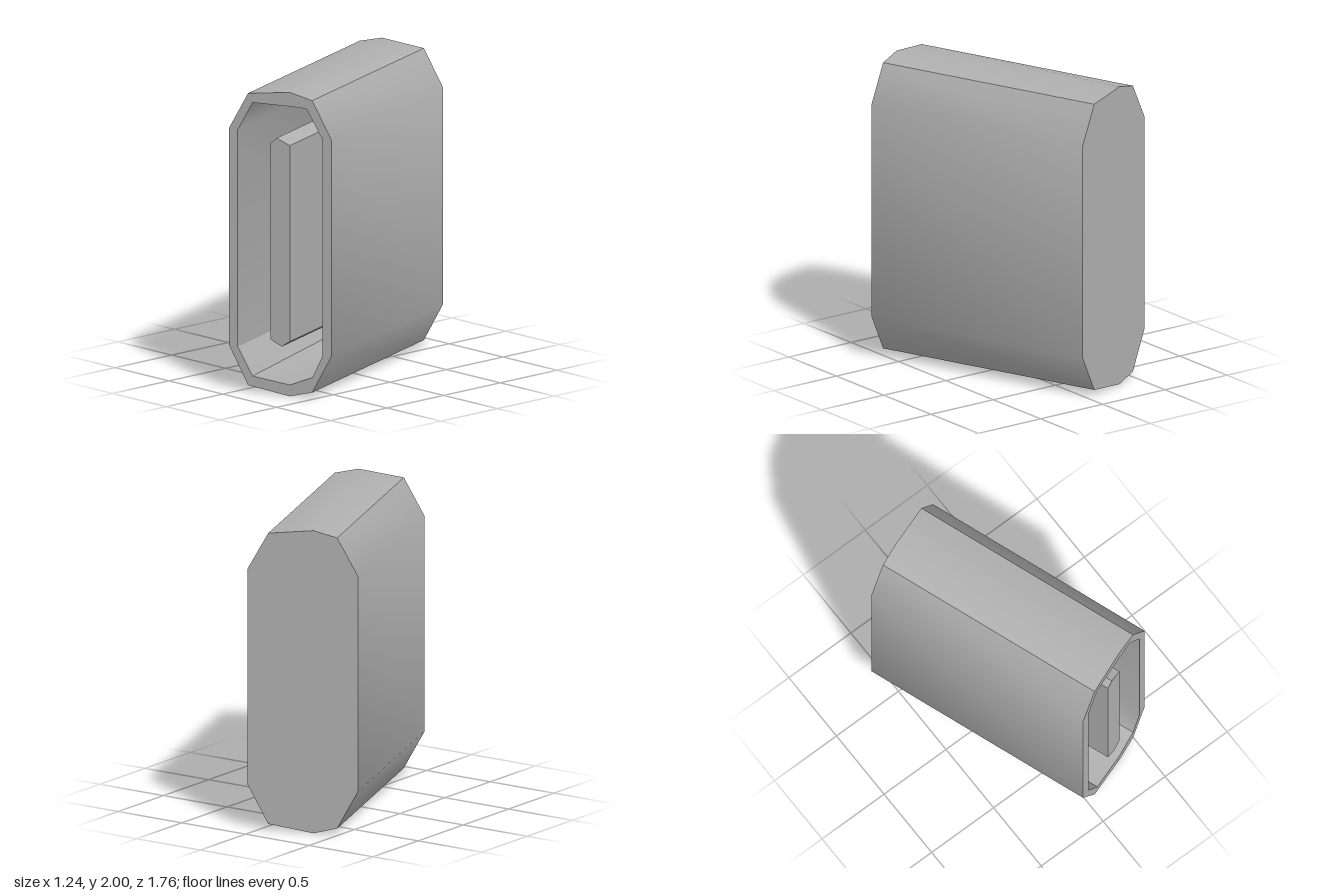
import * as THREE from 'three';
import { toCreasedNormals } from 'three/addons/utils/BufferGeometryUtils.js';

// Joins matching cross-sections in order, closing the ends with fans.
function loft(rings, crease) {
  const pos = [];
  const tri = (a, b, c) => pos.push(...a, ...b, ...c);
  const n = rings[0].length;
  const centre = (r) => [0, 1, r[0][2]];
  const first = rings[0], last = rings[rings.length - 1];
  for (let i = 0; i < n; i++) {
    const j = (i + 1) % n;
    tri(centre(first), first[j], first[i]);
    for (let k = 0; k + 1 < rings.length; k++) {
      const a = rings[k], b = rings[k + 1];
      tri(a[i], a[j], b[j]);
      tri(a[i], b[j], b[i]);
    }
    tri(centre(last), last[i], last[j]);
  }
  const g = new THREE.BufferGeometry();
  g.setAttribute('position', new THREE.Float32BufferAttribute(pos, 3));
  return toCreasedNormals(g, crease);
}

const section = (pts, z) => pts.map(([x, y]) => [x, y, z]);

// Outer outline, with its shallow ridge at x = ridge
const outer = (ridge) => [
  [0.367, 0.295], [0.367, 1.717], [0.229, 1.963], [ridge, 2], [-0.229, 1.963],
  [-0.367, 1.717], [-0.367, 0.295], [-0.229, 0.042], [ridge, 0], [0.229, 0.042],
];

// Cavity outline, with its floor corner heights given
const inner = (ridge, rightY, ridgeY, leftY) => [
  [0.303, 0.287], [0.303, 1.715], [0.188, 1.905], [ridge, 1.907], [-0.197, 1.905],
  [-0.303, 1.715], [-0.303, 0.287], [-0.197, leftY], [ridge, ridgeY], [0.229, rightY],
];

export function createModel() {
  const model = new THREE.Group();
  model.name = 'hollowSleeve';
  const grey = new THREE.MeshStandardMaterial({ color: 0xb0b0b0 });
  grey.name = 'grey';

  const half = 0.803, cavityBack = -0.63, r = 0.07;
  const add = (name, geometry) => {
    const mesh = new THREE.Mesh(geometry, grey);
    mesh.name = name;
    model.add(mesh);
  };

  // Shell: outside wall, front rim, cavity wall and cavity end
  add('shell', loft([
    section(outer(-r), -half),
    section(outer(r), half),
    section(inner(r, 0.14, 0.075, 0.105), half),
    section(inner(-r, 0.14, 0.135, 0.14), cavityBack),
  ], 0.52));

  // Flat tongue inside the cavity, flush with the rim
  const tongue = (ridge) => [
    [0.069, 0.36], [0.069, 1.65], [ridge, 1.69], [-0.069, 1.65],
    [-0.069, 0.36], [-ridge * 0.4, 0.32],
  ];
  add('tongue', loft([
    section(tongue(-0.025), cavityBack),
    section(tongue(-0.025), half),
  ], 0.3));

  model.rotation.y = THREE.MathUtils.degToRad(20);
  return model;
}
